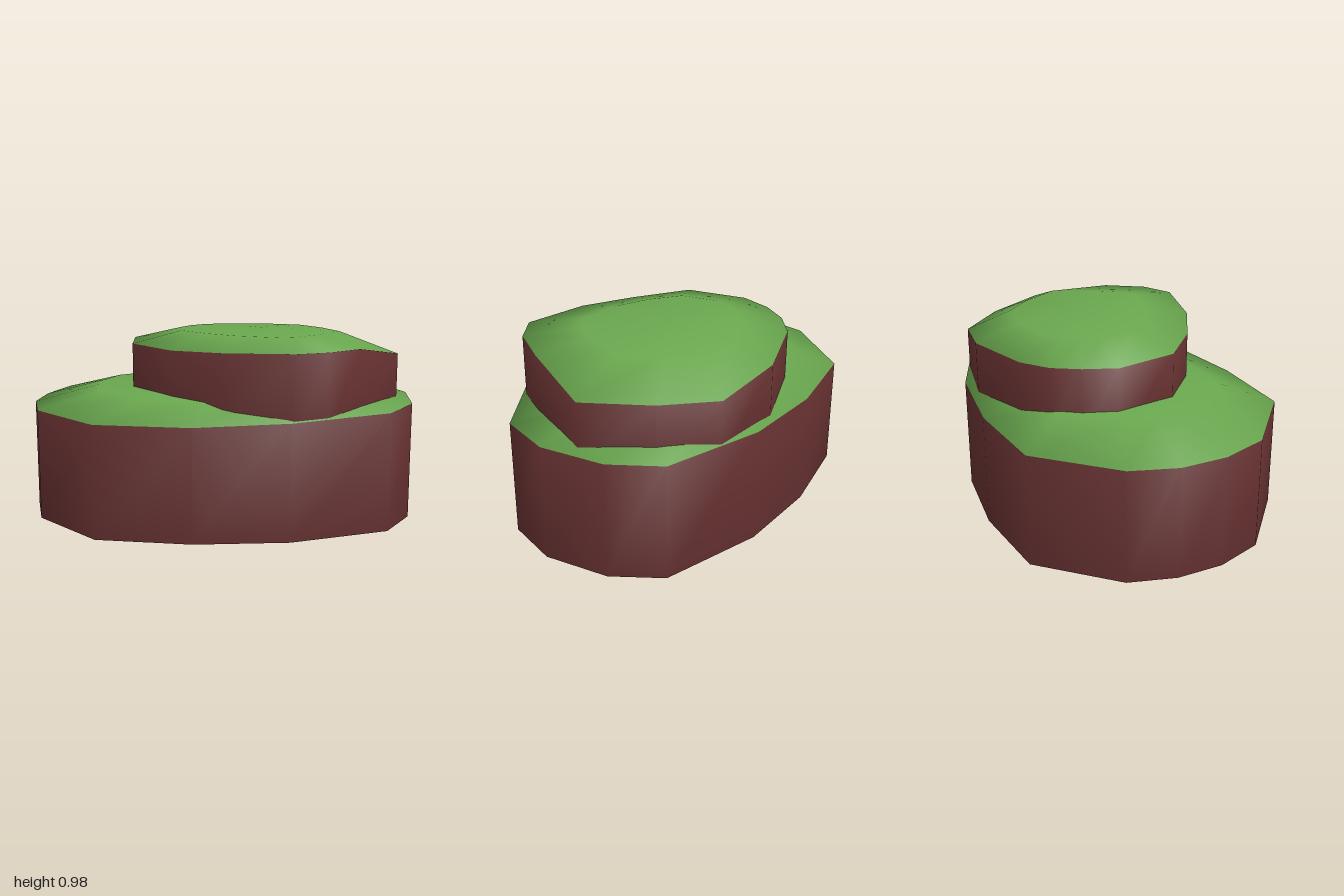
import * as THREE from 'three';

const grass = new THREE.MeshStandardMaterial({ color: 0x6aa84f, side: THREE.DoubleSide });
grass.name = 'grass green';
const earth = new THREE.MeshStandardMaterial({ color: 0x612e2e, side: THREE.DoubleSide });
earth.name = 'earth brown';

// One open-bottomed tier: an upright wall and a low domed cap with shared smooth normals.
// rim: [x, y, z] points, counterclockwise from above
function tier(name, rim, { bottom, centre, scale, ringY, topY }) {
  const n = rim.length;
  const [cx, cz] = centre;
  const rings = [
    rim.map(([x, , z]) => [x, bottom, z]),
    rim,
    rim.map(([x, , z]) => {
      const px = cx + (x - cx) * scale, pz = cz + (z - cz) * scale;
      return [px, ringY(px, pz), pz];
    }),
  ];
  const points = [...rings.flat(), [cx, topY, cz]];
  const index = [];
  for (let r = 0; r < 2; r++) {
    for (let i = 0; i < n; i++) {
      const j = (i + 1) % n, a = r * n, b = a + n;
      index.push(a + i, a + j, b + j, a + i, b + j, b + i);
    }
  }
  for (let i = 0; i < n; i++) index.push(2 * n + i, 2 * n + (i + 1) % n, 3 * n);

  const geometry = new THREE.BufferGeometry();
  geometry.setAttribute('position', new THREE.Float32BufferAttribute(points.flat(), 3));
  geometry.setIndex(index);
  geometry.computeVertexNormals();
  geometry.addGroup(0, 6 * n, 0); // wall
  geometry.addGroup(6 * n, 9 * n, 1); // cap
  const mesh = new THREE.Mesh(geometry, [earth, grass]);
  mesh.name = name;
  return mesh;
}

export function createModel() {
  const group = new THREE.Group();
  group.name = 'steppedHill';

  // Wide lower tier
  const lowerRim = [
    [-1, 0.585, -0.08], [-0.99, 0.58, 0.17], [-0.91, 0.58, 0.4], [-0.75, 0.58, 0.61],
    [-0.3, 0.58, 0.8], [0.17, 0.58, 0.66], [0.59, 0.595, 0.43], [0.97, 0.61, 0.05],
    [1, 0.612, -0.24], [0.88, 0.612, -0.56], [0.68, 0.61, -0.76], [0.13, 0.6, -0.8],
    [-0.33, 0.59, -0.71], [-0.78, 0.585, -0.52],
  ];
  group.add(tier('lowerTier', lowerRim, {
    bottom: 0, centre: [-0.03, -0.02], scale: 0.64,
    ringY: (x) => 0.66 - 0.025 * x, topY: 0.68,
  }));

  // Smaller upper tier, its wall sunk through the lower cap
  const upperRim = [
    [-0.54, 0.9, -0.05], [-0.39, 0.905, 0.24], [-0.09, 0.9, 0.37], [0.22, 0.912, 0.43],
    [0.59, 0.925, 0.4], [0.72, 0.925, 0.27], [0.8, 0.92, 0.05], [0.88, 0.85, -0.37],
    [0.62, 0.84, -0.62], [0.35, 0.83, -0.775], [-0.03, 0.88, -0.73], [-0.37, 0.89, -0.52],
    [-0.48, 0.895, -0.38], [-0.53, 0.9, -0.23],
  ];
  group.add(tier('upperTier', upperRim, {
    bottom: 0.51, centre: [0.13, -0.17], scale: 0.6,
    ringY: (x, z) => 0.967 + 0.015 * z, topY: 0.977,
  }));
  return group;
}
